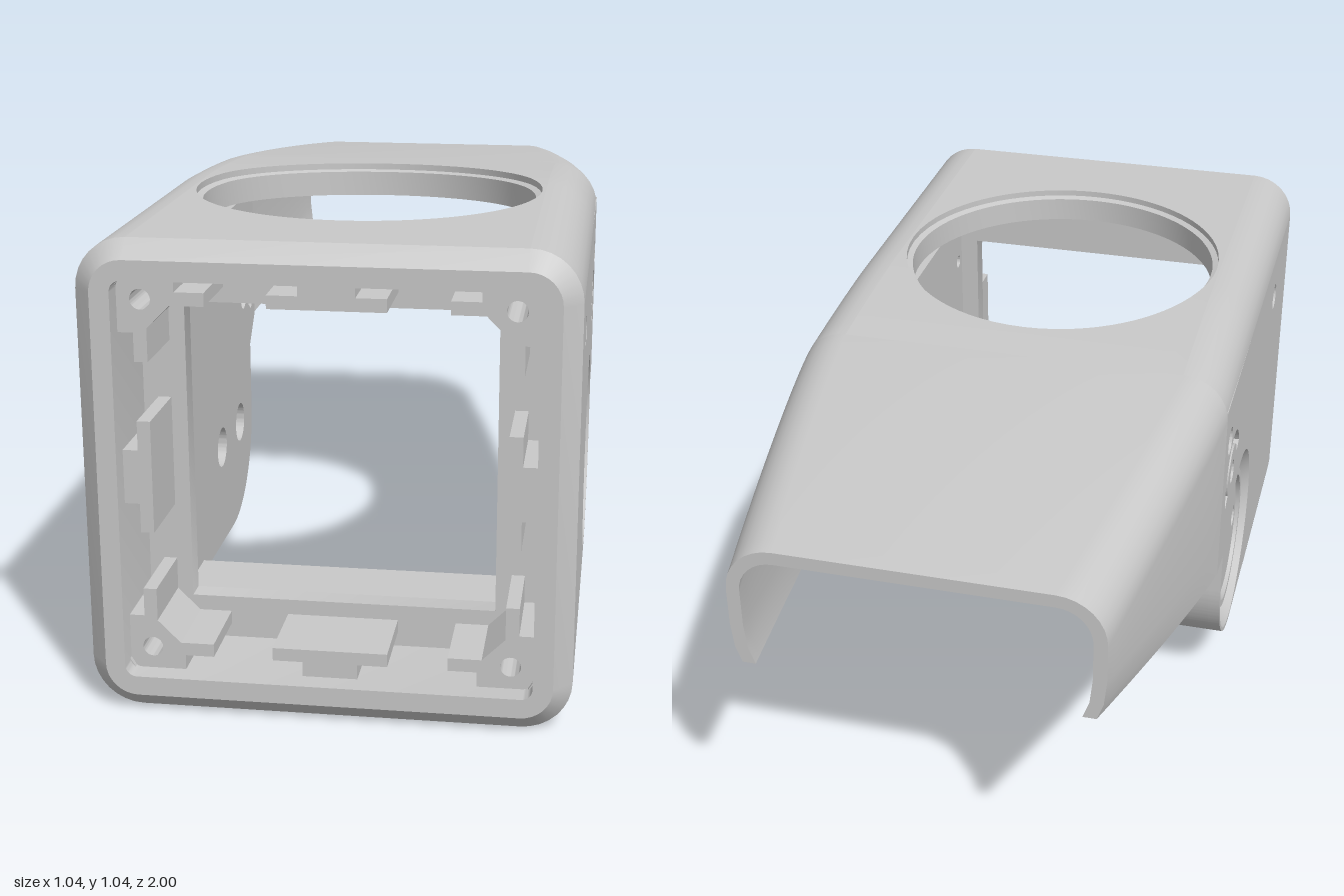
import * as THREE from 'three';
import { toCreasedNormals } from 'three/addons/utils/BufferGeometryUtils.js';

const HALF = 0.5225, R = 0.11, WALL = 0.08, SKIN = 0.03, ROOF = 0.04, CY = 0.5225;
const TAIL = -0.2, END = -1, LIP = 0.96, HOLE_Z = 0.33;

// Taper rules along z: half width, roof height, lower edge of the tail
const ramp = (z, start) => Math.max(0, (start - z) / (start + 1));
const halfWidth = z => HALF - 0.1125 * Math.pow(ramp(z, TAIL), 1.15);
const roofDrop = z => 0.105 * Math.pow(ramp(z, 0.2), 1.4);
const roofY = z => 2 * CY - roofDrop(z);
const lowEdge = z => 0.465 + 0.175 * Math.pow(ramp(z, -0.11), 1.15);

const arcPts = (cx, cy, r, a0, a1, n = 8) => Array.from({ length: n + 1 }, (_, i) => {
  const a = a0 + (a1 - a0) * i / n;
  return [cx + r * Math.cos(a), cy + r * Math.sin(a)];
});
const range = (a, b, n) => Array.from({ length: n + 1 }, (_, i) => a + (b - a) * i / n);

// Skin closed [x, y, z] loops, ordered by z, with optional end caps
function loft(loops, caps = true) {
  loops = loops.map(l => {
    const cw = THREE.ShapeUtils.isClockWise(l.map(p => new THREE.Vector2(p[0], p[1])));
    return cw ? [...l].reverse() : l;
  });
  const n = loops[0].length, idx = [];
  for (let i = 0; i < loops.length - 1; i++) {
    for (let j = 0; j < n; j++) {
      const k = (j + 1) % n, a = i * n + j, b = i * n + k;
      idx.push(a, b, b + n, a, b + n, a + n);
    }
  }
  if (caps) {
    const last = (loops.length - 1) * n;
    const cap = l => THREE.ShapeUtils.triangulateShape(l.map(p => new THREE.Vector2(p[0], p[1])), []);
    for (const [a, b, c] of cap(loops[0])) idx.push(a, c, b);
    for (const [a, b, c] of cap(loops[loops.length - 1])) idx.push(last + a, last + b, last + c);
  }
  const g = new THREE.BufferGeometry();
  g.setAttribute('position', new THREE.Float32BufferAttribute(loops.flat(2), 3));
  g.setIndex(idx);
  return g;
}

const circle = (cx, cy, r) => new THREE.Path().absarc(cx, cy, r, 0, Math.PI * 2, false);

export function createModel() {
  const model = new THREE.Group();
  const grey = new THREE.MeshStandardMaterial({ color: 0xc8c8c8 });
  grey.name = 'grey';
  const add = (name, geo, crease = 0.5) => {
    const mesh = new THREE.Mesh(toCreasedNormals(geo, crease), grey);
    mesh.name = name;
    model.add(mesh);
  };
  const prism = (shape, depth) =>
    new THREE.ExtrudeGeometry(shape, { depth, bevelEnabled: false, curveSegments: 32 });
  // A flat part in the (-z, y) plane on both sides, from x0 to x1
  const onBothSides = (name, shape, x0, x1) => {
    for (const [side, x] of [['left', x0], ['right', -x1]]) {
      add(side + name, prism(shape, x1 - x0).rotateY(Math.PI / 2).translate(x, 0, 0));
    }
  };

  // Side walls with round ears, screw holes and a curved slot
  const EAR = [-0.145, 0.355], PIVOT = [0.035, 0.675], TOP = 2 * CY - R;
  function sideShape(zFront, rear, screwR, earHoles) {
    const s = new THREE.Shape();
    s.moveTo(-zFront, 0.11);
    s.lineTo(EAR[0], EAR[1] - 0.25);
    s.absarc(EAR[0], EAR[1], 0.25, -Math.PI / 2, 0, false);
    rear.forEach(p => s.lineTo(...p));
    s.lineTo(-zFront, TOP);
    s.closePath();
    const slot = new THREE.Path(), a0 = -Math.PI / 6, a1 = Math.PI * 0.89;
    slot.absarc(...PIVOT, 0.105, a0, a1, false);
    slot.absarc(...PIVOT, 0.07, a1, a0, true);
    slot.closePath();
    s.holes.push(slot, circle(...PIVOT, 0.03), circle(-0.685, 0.81, screwR),
      circle(0.115, 0.81, screwR), ...earHoles);
    return s;
  }
  const pinHoles = r => [-0.105, 0.105].map(d => circle(EAR[0] + d, EAR[1], r));
  const skinRear = [[0.105, lowEdge(-0.105)], [-TAIL, lowEdge(TAIL)], [-TAIL, TOP]];
  const padRear = [[0.105, 0.53], [0.17, 0.6], [0.17, TOP]];
  const recess = [circle(...EAR, 0.24)];
  onBothSides('SideSkin', sideShape(LIP, skinRear, 0.035, recess), HALF - SKIN, HALF);
  onBothSides('SideWall', sideShape(LIP, padRear, 0.035, recess), HALF - WALL, HALF - SKIN);
  onBothSides('SidePad', sideShape(0.72, padRear, 0.017, pinHoles(0.05)), 0.39, HALF - WALL);

  // Stepped round recess in each ear, with a two-hole disc at its centre
  const disc = new THREE.Shape().absarc(...EAR, 0.15, 0, Math.PI * 2, false);
  disc.holes.push(...pinHoles(0.028));
  onBothSides('EarDisc', disc, HALF - WALL, 0.5);
  const ring = [[0.24, HALF], [0.218, 0.492], [0.2, 0.492], [0.188, 0.508], [0.17, 0.508],
    [0.167, 0.45], [0.148, 0.45]].map(p => new THREE.Vector2(...p));
  for (const s of [1, -1]) {
    add(s > 0 ? 'leftEarRing' : 'rightEarRing', new THREE.LatheGeometry(ring, 64)
      .rotateZ(-s * Math.PI / 2).translate(0, EAR[1], -EAR[0]));
  }

  // Roof panel: rings running from its rectangular rim in to the round opening
  const W = HALF - R, back = HOLE_Z - TAIL, front = HOLE_Z - LIP;
  const rim = [
    ...range(front, back, 24).map(v => [W, v]), ...range(W, -W, 16).slice(1).map(x => [x, back]),
    ...range(back, front, 24).slice(1).map(v => [-W, v]),
    ...range(-W, W, 16).slice(1, -1).map(x => [x, front]),
  ];
  const roofRing = (t, y) => rim.map(([x, v]) => {
    const k = 1 + (0.405 / Math.hypot(x, v) - 1) * t;
    return [x * k, v * k, y];
  });
  const hi = 2 * CY, lo = hi - ROOF, steps = [0, 0.25, 0.5, 0.75, 1];
  const followRoof = g => {
    const p = g.attributes.position;
    for (let i = 0; i < p.count; i++) p.setY(i, p.getY(i) - roofDrop(p.getZ(i)));
    return g;
  };
  add('roof', followRoof(loft([...steps.map(t => roofRing(t, hi)),
    ...[...steps].reverse().map(t => roofRing(t, lo)), roofRing(0, hi)], false)
    .rotateX(-Math.PI / 2).translate(0, 0, HOLE_Z)));

  // Collar lining the opening
  const collar = [[0.405, 1.044], [0.405, 1.03], [0.39, 1.025], [0.39, 0.965], [0.41, 0.965],
    [0.41, 1.01]].map(p => new THREE.Vector2(...p));
  add('openingCollar', followRoof(new THREE.LatheGeometry(collar, 72).translate(0, 0, HOLE_Z)));

  // Rounded long edges, top and bottom
  for (const s of [1, -1]) {
    const side = s > 0 ? 'left' : 'right';
    add(side + 'TopEdge', loft(range(TAIL, LIP, 24).map(z => {
      const w = halfWidth(z), t = roofY(z);
      return [...arcPts(w - R, t - R, R, 0, Math.PI / 2), [w - R, t - ROOF], [w - WALL, t - R]]
        .map(([x, y]) => [s * x, y, z]);
    })));
    const low = [...arcPts(HALF - R, R, R, -Math.PI / 2, 0), [HALF - WALL, R], [HALF - R, 0.06]];
    // the rear end is cut on a slant
    add(side + 'BottomEdge', loft([y => 0.475 - 0.77 * y, () => LIP]
      .map(zAt => low.map(([x, y]) => [s * x, y, zAt(y)]))));
  }
  // Floor: thick behind the inner frame, thin under the front recess
  for (const [name, h, z0, z1] of [['floor', 0.14, 0.475, 0.74], ['recessFloor', 0.06, 0.74, LIP]]) {
    add(name, new THREE.BoxGeometry(2 * W, h, z1 - z0).translate(0, h / 2, (z0 + z1) / 2));
  }

  // Tapering hood at the back, open below
  const arch = (z, o) => {
    const w = halfWidth(z) - o, t = roofY(z) - o, r = R - o, b = lowEdge(z);
    const curl = ramp(z, TAIL);
    const half = [[w - 0.02 * curl, b], [w - 0.006 * curl, b + 0.04], [w, b + 0.1],
      ...arcPts(w - r, t - r, r, 0, Math.PI / 2)];
    return [...half, ...half.map(([x, y]) => [-x, y]).reverse()].map(([x, y]) => [x, y, z]);
  };
  add('hood', loft(range(END, TAIL, 20).map(z => [...arch(z, 0), ...arch(z, SKIN).reverse()])));

  // Front bezel: chamfer, lip, recess and square inner frame
  const square = ([half, r, z]) => [0, 1, 2, 3].flatMap(k => {
    const a = k * Math.PI / 2, c = Math.SQRT2 * (half - r), d = a + Math.PI / 4;
    return arcPts(c * Math.cos(d), CY + c * Math.sin(d), r, a, a + Math.PI / 2)
      .map(([x, y]) => [x, y, z]);
  });
  add('frontBezel', loft([[0.49, 0.08, 0.72], [HALF, R, LIP], [0.483, 0.07, 1], [0.44, 0.025, 1],
    [0.44, 0.025, 0.77], [0.343, 0.001, 0.77], [0.343, 0.001, 0.72], [0.49, 0.08, 0.72]]
    .map(square), false));

  // Mounting clips around the recess: one per edge and one per corner
  const edgeClip = new THREE.Shape([[-0.06, 0.442], [-0.06, 0.407], [-0.125, 0.407], [-0.125, 0.378],
    [0.125, 0.378], [0.125, 0.407], [0.06, 0.407], [0.06, 0.442]].map(p => new THREE.Vector2(...p)));
  const arm = [[0.318, 0.442], [0.318, 0.407], [0.255, 0.407], [0.255, 0.378], [0.328, 0.378]];
  const cornerClip = new THREE.Shape([[0.442, 0.442], ...arm, ...arm.map(([x, y]) => [y, x]).reverse()]
    .map(p => new THREE.Vector2(...p)));
  cornerClip.holes.push(circle(0.39, 0.39, 0.022));
  for (let k = 0; k < 4; k++) {
    for (const [name, shape] of [['edgeClip', edgeClip], ['cornerClip', cornerClip]]) {
      add(name + (k + 1), prism(shape, 0.18).rotateZ(k * Math.PI / 2).translate(0, CY, 0.77));
    }
  }
  return model;
}
